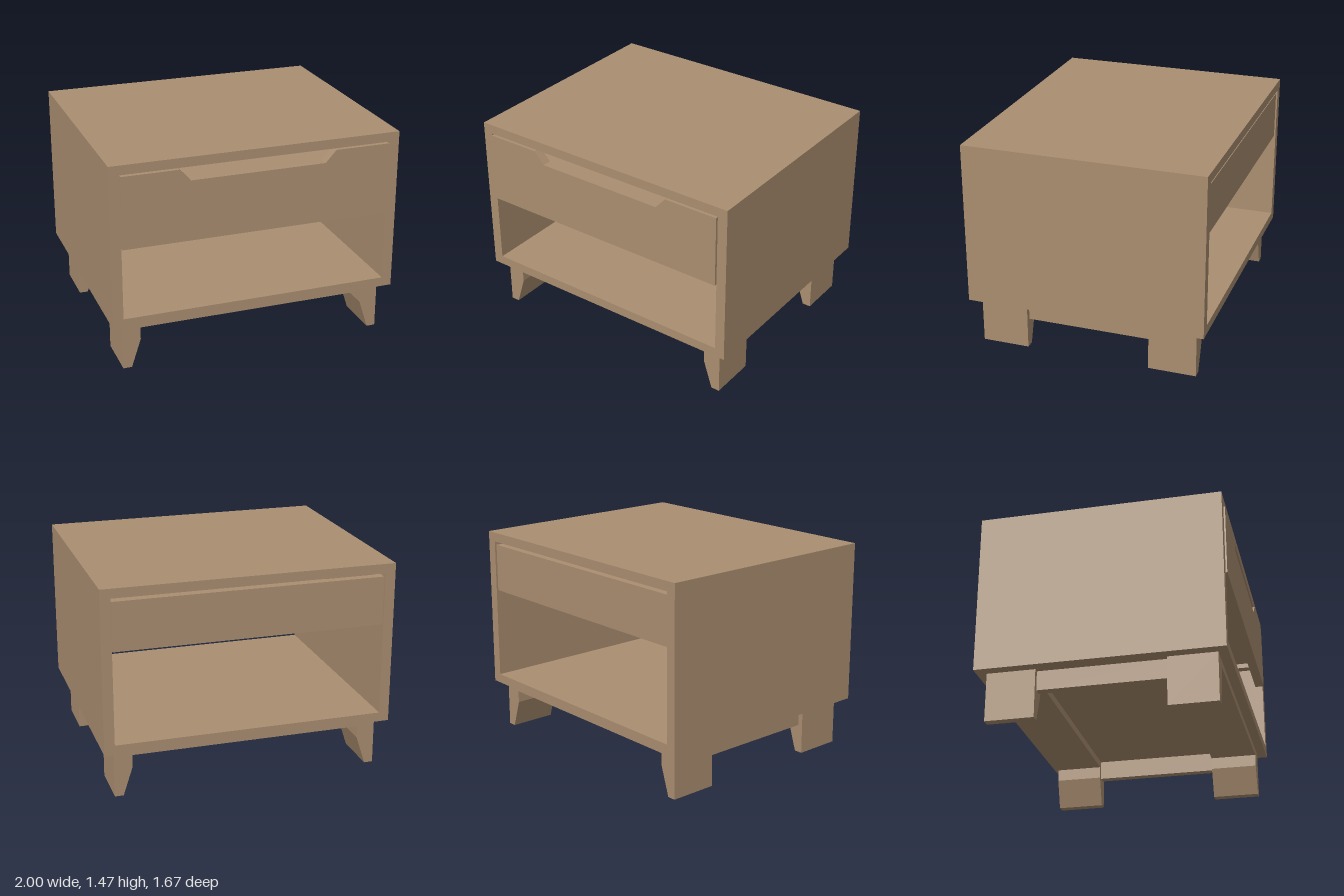
import * as THREE from 'three';

export function createModel() {
  const model = new THREE.Group();
  model.name = 'bedsideTable';
  const wood = new THREE.MeshStandardMaterial({ color: 0xaa8e70 });
  wood.name = 'wood';

  const add = (name, geometry, parent = model) => {
    const mesh = new THREE.Mesh(geometry, wood);
    mesh.name = name;
    parent.add(mesh);
    return mesh;
  };
  // Box given by its limits on each axis
  const box = (name, x0, x1, y0, y1, z0, z1, parent) =>
    add(name, new THREE.BoxGeometry(x1 - x0, y1 - y0, z1 - z0), parent)
      .position.set((x0 + x1) / 2, (y0 + y1) / 2, (z0 + z1) / 2);
  const outline = (points) => new THREE.Shape(points.map(([x, y]) => new THREE.Vector2(x, y)));
  // Front outline extruded from z0 to z1
  const extrude = (name, shape, z0, z1, parent) =>
    add(name, new THREE.ExtrudeGeometry(shape, { depth: z1 - z0, bevelEnabled: false }).translate(0, 0, z0), parent);

  // Case, open at the front and the back
  const frame = outline([[-1, 0.335], [1, 0.335], [1, 1.465], [-1, 1.465]]);
  frame.holes.push(outline([[-0.93, 0.4], [-0.93, 1.4], [0.93, 1.4], [0.93, 0.4]]));
  extrude('case', frame, -0.835, 0.825);

  // Drawer: front with a finger notch, sides, back and raised bottom
  const drawer = new THREE.Group();
  drawer.name = 'drawer';
  model.add(drawer);
  extrude('drawerFront', outline([
    [-0.925, 0.895], [0.925, 0.895], [0.925, 1.392], [0.54, 1.392],
    [0.465, 1.31], [-0.465, 1.31], [-0.54, 1.392], [-0.925, 1.392],
  ]), 0.77, 0.835, drawer);
  for (const s of [-1, 1]) {
    const [a, b] = [s * 0.865, s * 0.925].sort((p, q) => p - q);
    box(s > 0 ? 'drawerSideLeft' : 'drawerSideRight', a, b, 1.04, 1.375, -0.825, 0.77, drawer);
  }
  box('drawerBack', -0.865, 0.865, 1.04, 1.375, -0.825, -0.765, drawer);
  box('drawerBottom', -0.865, 0.865, 1.075, 1.105, -0.765, 0.77, drawer);

  // Two bridges, each a plank with a tapered leg at both ends
  const half = [[0.8, 0.285], [0.8, 0.2], [0.865, 0], [0.925, 0], [0.925, 0.335]];
  const bridge = outline([...half, ...half.map(([x, y]) => [-x, y]).reverse()]);
  extrude('frontLegs', bridge, 0.43, 0.76);
  extrude('backLegs', bridge, -0.768, -0.437);

  // Side rails joining the legs
  box('railLeft', 0.83, 0.89, 0.2, 0.335, -0.437, 0.43);
  box('railRight', -0.89, -0.83, 0.2, 0.335, -0.437, 0.43);

  return model;
}
